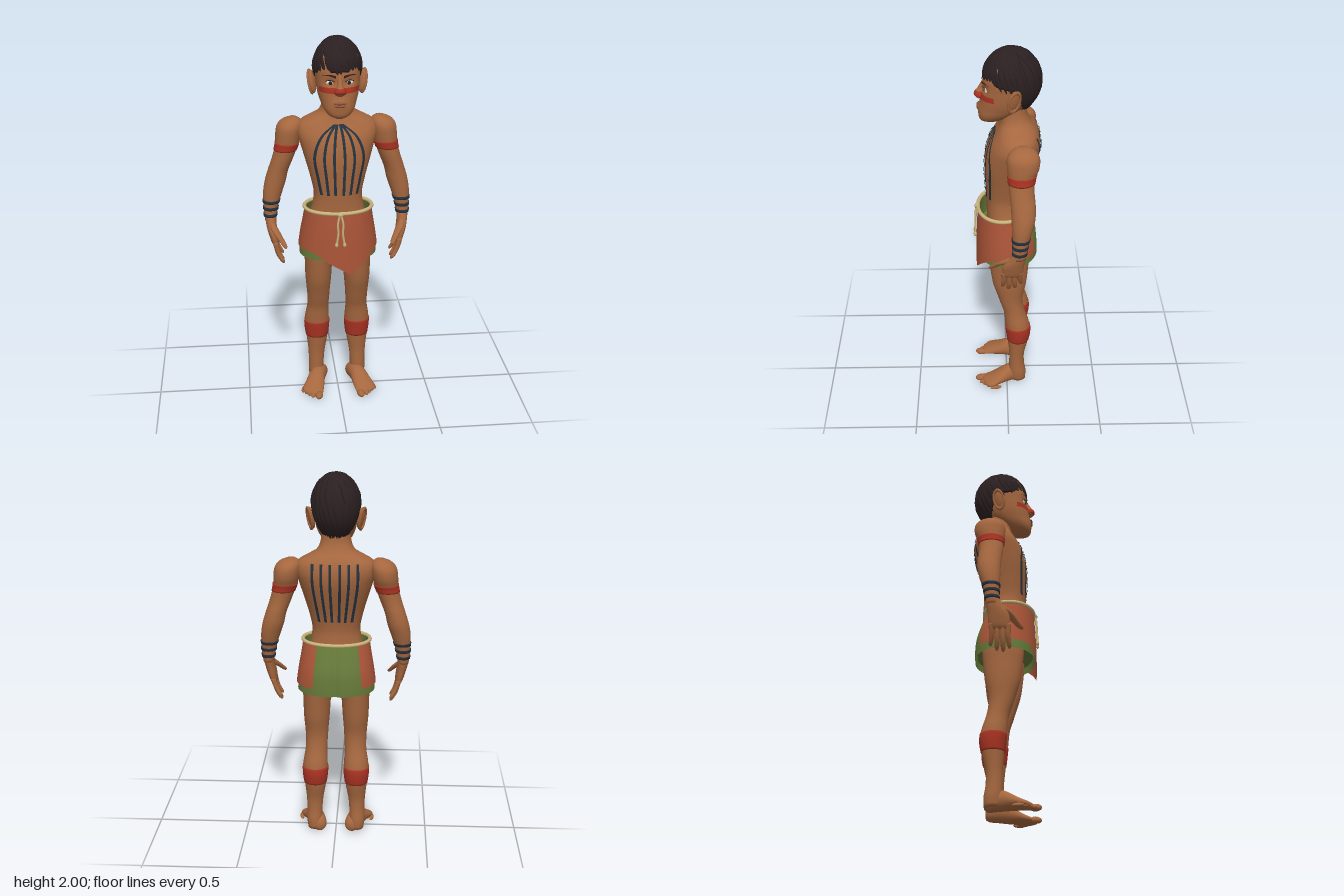
import * as THREE from 'three';
import { mergeGeometries } from 'three/addons/utils/BufferGeometryUtils.js';

const V = (x, y, z) => new THREE.Vector3(x, y, z);
const mat = (name, color, side = THREE.FrontSide) => {
  const m = new THREE.MeshStandardMaterial({ color, side });
  m.name = name;
  return m;
};
const gauss = (d, w) => Math.exp(-(d * d) / (w * w));

// Grid surface f(u, v); closed grids wrap in u and get end caps
function grid(f, nu, nv, closed = true) {
  const pos = [], idx = [], n = closed ? nu : nu + 1;
  for (let j = 0; j <= nv; j++)
    for (let i = 0; i < n; i++) pos.push(...f(i / nu, j / nv).toArray());
  for (let j = 0; j < nv; j++)
    for (let i = 0; i < nu; i++) {
      const k = closed ? (i + 1) % nu : i + 1;
      const a = j * n + i, b = a + n, c = j * n + k, d = c + n;
      idx.push(a, b, c, b, d, c);
    }
  if (closed) for (const j of [0, nv]) {
    const c = V(0, 0, 0), id = pos.length / 3;
    for (let i = 0; i < n; i++) c.add(V(...pos.slice((j * n + i) * 3, (j * n + i) * 3 + 3)));
    pos.push(...c.divideScalar(n).toArray());
    for (let i = 0; i < n; i++) {
      const a = j * n + i, b = j * n + (i + 1) % n;
      idx.push(id, ...(j ? [b, a] : [a, b]));
    }
  }
  const g = new THREE.BufferGeometry();
  g.setAttribute('position', new THREE.Float32BufferAttribute(pos, 3));
  g.setIndex(idx);
  g.computeVertexNormals();
  return g;
}

// Profile rows are [y, centreX, centreZ, radiusX, radiusZ], smoothly interpolated
const profile = (rows, n = 2, warp = null) => ({ rows, n, warp });
function at({ rows }, y) {
  let i = 0;
  while (i < rows.length - 2 && y > rows[i + 1][0]) i++;
  const slope = (k, c) => {
    const p = rows[Math.max(0, k - 1)], q = rows[Math.min(rows.length - 1, k + 1)];
    return (q[c] - p[c]) / (q[0] - p[0]);
  };
  const h = rows[i + 1][0] - rows[i][0], t = Math.min(1, Math.max(0, (y - rows[i][0]) / h));
  const t2 = t * t, t3 = t2 * t;
  return [1, 2, 3, 4].map((c) => (2 * t3 - 3 * t2 + 1) * rows[i][c] + (t3 - 2 * t2 + t) * h * slope(i, c)
    + (3 * t2 - 2 * t3) * rows[i + 1][c] + (t3 - t2) * h * slope(i + 1, c));
}
function ringPoint(P, a, y, g = 0) {
  const [cx, cz, rx, rz] = at(P, y), c = Math.cos(a), s = Math.sin(a), e = 2 / P.n;
  const p = V(cx + (Math.max(rx, 0.001) + g) * Math.sign(c) * Math.abs(c) ** e, y,
    cz + (Math.max(rz, 0.001) + g) * Math.sign(s) * Math.abs(s) ** e);
  if (P.warp) P.warp(p);
  return p;
}
// Point on a profile's front (dir 1) or back (dir -1) at a given x and y
function onSurface(P, x, y, dir, off) {
  const [cx, cz, rx, rz] = at(P, y), k = Math.min(1, Math.abs((x - cx) / rx));
  const p = V(x, y, cz + dir * rz * (1 - k ** P.n) ** (1 / P.n));
  if (P.warp) P.warp(p);
  p.z += dir * off;
  return p;
}
function limb(P, y0, y1, g = 0, nu = 28, nv = 30) {
  return grid((u, v) => ringPoint(P, u * Math.PI * 2, y0 + (y1 - y0) * v, g), nu, nv);
}
const whole = (P, nu, nv) => limb(P, P.rows[0][0], P.rows[P.rows.length - 1][0], 0, nu, nv);
const fb = (y, rx, front, back) => [y, 0, (front + back) / 2, rx, (front - back) / 2];

export function createModel() {
  const root = new THREE.Group();
  root.name = 'figure';
  const D = THREE.DoubleSide;
  const skin = mat('skin', 0xa5673f), hair = mat('hair', 0x2b2021, D), red = mat('redPaint', 0xa93323, D);
  const rust = mat('rustCloth', 0xab5538, D), green = mat('greenCloth', 0x667a3a, D), cord = mat('cord', 0xc9b27c);
  const navy = mat('bluePaint', 0x24323f, D), lip = mat('lips', 0x8f5138), white = mat('eyeWhite', 0xd9d0c4);
  const add = (name, geo, m, parent = root) => {
    const mesh = new THREE.Mesh(geo, m);
    mesh.name = name;
    parent.add(mesh);
    return mesh;
  };
  const ball = (name, m, p, s, parent = root) => {
    const b = add(name, new THREE.SphereGeometry(1, 20, 14), m, parent);
    b.position.set(...p);
    b.scale.set(...s);
    return b;
  };

  // Torso and neck, with a groove along the spine
  const torso = profile([fb(0.93, 0.165, 0.11, -0.12), fb(1.05, 0.15, 0.105, -0.105), fb(1.12, 0.133, 0.105, -0.095),
    fb(1.18, 0.127, 0.107, -0.095), fb(1.27, 0.145, 0.112, -0.115), fb(1.36, 0.17, 0.115, -0.145),
    fb(1.44, 0.193, 0.105, -0.168), fb(1.5, 0.208, 0.085, -0.173), fb(1.55, 0.195, 0.056, -0.162),
    fb(1.58, 0.145, 0.042, -0.145), fb(1.605, 0.1, 0.034, -0.125), fb(1.65, 0.079, 0.034, -0.105),
    fb(1.72, 0.074, 0.04, -0.1)], 2.3, (p) => { if (p.z < 0) p.z += 0.012 * gauss(p.x, 0.03) * gauss(p.y - 1.3, 0.2); });
  add('torso', whole(torso, 64, 60), skin);

  // Painted body stripes laid on the torso
  const stripe = (pts, dir) => {
    const c = new THREE.CatmullRomCurve3(pts.map(([x, y]) => V(x, y, 0)));
    return grid((u, v) => {
      const p = c.getPoint(v);
      return onSurface(torso, p.x + (u - 0.5) * 0.014, p.y, dir, 0.005);
    }, 2, 30, false);
  };
  for (const s of [-1, 1]) {
    [[0.008, 0.027, 0.021], [0.014, 0.077, 0.057], [0.02, 0.126, 0.092]].forEach(([a, b, c]) =>
      add('chestStripe', stripe([[s * a, 1.56], [s * b * 0.72, 1.5], [s * b, 1.4], [s * (b + c) / 2, 1.28], [s * c, 1.19]], 1), navy));
    [[0.025, 0.018], [0.07, 0.05], [0.115, 0.085]].forEach(([a, b]) =>
      add('backStripe', stripe([[s * a, 1.555], [s * a, 1.45], [s * b, 1.23]], -1), navy));
  }

  // Head with eye sockets and a fuller mouth
  const head = profile([fb(1.605, 0.02, 0.115, 0.05), fb(1.62, 0.052, 0.135, 0.02), fb(1.65, 0.078, 0.141, -0.03),
    fb(1.69, 0.095, 0.135, -0.09), fb(1.73, 0.106, 0.13, -0.12), fb(1.79, 0.113, 0.122, -0.14),
    fb(1.85, 0.116, 0.115, -0.15), fb(1.92, 0.104, 0.09, -0.13), fb(1.97, 0.058, 0.03, -0.09)], 2.3, (p) => {
    if (p.z < 0.03) return;
    p.z += 0.009 * gauss(p.x, 0.04) * gauss(p.y - 1.685, 0.025) - 0.011 * gauss(Math.abs(p.x) - 0.047, 0.025) * gauss(p.y - 1.79, 0.022);
  });
  add('head', whole(head, 64, 60), skin);
  const nose = profile([[1.725, 0, 0.125, 0.01, 0.008], [1.737, 0, 0.129, 0.027, 0.022], [1.755, 0, 0.132, 0.027, 0.029],
    [1.78, 0, 0.125, 0.015, 0.022], [1.81, 0, 0.115, 0.011, 0.014], [1.835, 0, 0.108, 0.01, 0.008]]);
  add('nose', whole(nose, 24, 20), skin);
  add('nosePaint', limb(nose, 1.741, 1.77, 0.002, 24, 8), red);
  add('cheekPaint', grid((u, v) => onSurface(head, (v - 0.5) * 0.2, 1.74 + u * 0.028, 1, 0.004), 3, 40, false), red);
  ball('upperLip', lip, [0, 1.692, 0.14], [0.034, 0.007, 0.01]);
  ball('lowerLip', lip, [0, 1.678, 0.14], [0.028, 0.008, 0.01]);
  for (const s of [-1, 1]) {
    const e = onSurface(head, s * 0.047, 1.79, 1, 0);
    ball('eye', white, [e.x, e.y, e.z - 0.002], [0.021, 0.012, 0.01]);
    ball('iris', hair, [e.x, e.y, e.z + 0.005], [0.009, 0.01, 0.005]);
    add('eyelid', grid((u, v) => onSurface(head, s * (0.025 + 0.046 * v), 1.797 + 0.006 * Math.sin(v * Math.PI) + u * 0.004, 1, 0.008), 1, 10, false), hair);
    add('eyebrow', grid((u, v) => onSurface(head, s * (0.02 + 0.066 * v), 1.822 + 0.008 * Math.sin(v * 2.6) + (u - 0.5) * 0.012 * (1.1 - v), 1, 0.005), 2, 12, false), hair);
    const ear = new THREE.Group();
    ear.name = 'ear';
    ear.position.set(s * 0.126, 1.765, -0.032);
    ear.rotation.set(-0.15, s * 0.45, s * -0.15);
    ball('earShell', skin, [0, 0, 0], [0.014, 0.06, 0.033], ear);
    const rim = add('earRim', new THREE.TorusGeometry(0.03, 0.006, 8, 28), skin, ear);
    rim.rotation.y = Math.PI / 2;
    rim.scale.y = 1.85;
    rim.position.x = s * 0.01;
    root.add(ear);
  }

  // Hair cap and overlapping pointed locks running out from the crown
  let seed = 7;
  const rnd = () => (seed = (seed * 16807) % 2147483647) / 2147483647;
  const scalp = (a, t) => {
    const sn = Math.sin(a);
    const hem = sn > 0 ? 1.815 + 0.03 * sn : 1.815 - 0.125 * THREE.MathUtils.smoothstep(-sn, 0, 0.65);
    const w = t * (Math.PI / 2 + (1.83 - hem) / 0.163), low = w - Math.PI / 2;
    const f = low < 0 ? Math.sin(w) : 1 - 0.5 * low * low;
    return V(0.125 * f * Math.cos(a), low < 0 ? 1.83 + 0.163 * Math.cos(w) : 1.83 - 0.163 * low, -0.026 + 0.146 * f * sn);
  };
  add('hairCap', grid((u, v) => scalp(u * Math.PI * 2, 1 - 0.98 * v), 48, 24), hair);
  const locks = [];
  for (const [count, t0, t1, width] of [[36, 0.55, 1.07, 0.017], [24, 0.3, 0.85, 0.021], [13, 0.03, 0.58, 0.022]])
    for (let k = 0; k < count; k++) {
      const a0 = (k + rnd() * 0.5) / count * Math.PI * 2, end = t1 + (rnd() - 0.5) * 0.08, twist = 0.25 + rnd() * 0.2;
      locks.push(grid((u, v) => {
        const t = t0 + (end - t0) * v, a = a0 + twist * (1 - v), c = scalp(a, t);
        const side = scalp(a + 0.02, t).sub(c).normalize();
        const down = scalp(a, t + 0.02).sub(c).normalize();
        const out = side.clone().cross(down).negate();
        const taper = Math.sin(Math.PI * (0.15 + 0.83 * v));
        return c.addScaledVector(side, Math.cos(u * Math.PI * 2) * width * taper)
          .addScaledVector(out, Math.sin(u * Math.PI * 2) * 0.008 * taper + 0.004 * v);
      }, 8, 8));
    }
  add('hairLocks', mergeGeometries(locks), hair);

  // Limbs, one pass for each side
  for (const s of [-1, 1]) {
    const side = (rows) => profile(rows.map(([y, x, ...r]) => [y, x * s, ...r]));
    const arm = side([[1, 0.356, -0.055, 0.028, 0.036], [1.04, 0.355, -0.06, 0.034, 0.036], [1.1, 0.35, -0.065, 0.041, 0.042],
      [1.16, 0.34, -0.072, 0.051, 0.052], [1.22, 0.325, -0.078, 0.056, 0.06], [1.28, 0.309, -0.077, 0.054, 0.062],
      [1.35, 0.284, -0.07, 0.056, 0.063], [1.42, 0.262, -0.07, 0.06, 0.068], [1.47, 0.254, -0.077, 0.066, 0.08],
      [1.52, 0.246, -0.078, 0.066, 0.08], [1.55, 0.236, -0.077, 0.053, 0.06], [1.566, 0.228, -0.076, 0.025, 0.03]]);
    add('arm', whole(arm, 32, 50), skin);
    add('armBand', limb(arm, 1.395, 1.435, 0.004, 32, 6), red);
    for (const y of [1.035, 1.073, 1.11]) add('wristBand', limb(arm, y - 0.008, y + 0.008, 0.004, 28, 3), navy);
    // Hand
    add('palm', whole(side([[0.872, 0.33, -0.02, 0.012, 0.042], [0.885, 0.333, -0.022, 0.019, 0.05], [0.92, 0.34, -0.025, 0.024, 0.055],
      [0.955, 0.347, -0.03, 0.027, 0.053], [0.99, 0.353, -0.045, 0.028, 0.044], [1.03, 0.355, -0.057, 0.03, 0.036]]), 24, 16), skin);
    [[-0.063, 0.8], [-0.035, 0.775], [-0.007, 0.768], [0.02, 0.785]].forEach(([z, tip]) => {
      const zt = z + (z + 0.02) * 0.15;
      add('finger', whole(side([[tip, 0.292, zt, 0.004, 0.004], [tip + 0.008, 0.296, zt, 0.01, 0.01],
        [tip + 0.05, 0.318, z, 0.013, 0.013], [0.9, 0.336, z, 0.015, 0.015]]), 12, 14), skin);
    });
    add('thumb', whole(side([[0.895, 0.283, 0.088, 0.005, 0.006], [0.903, 0.286, 0.083, 0.012, 0.015], [0.935, 0.308, 0.052, 0.016, 0.022],
      [0.97, 0.335, 0.012, 0.02, 0.028], [1, 0.35, -0.02, 0.012, 0.018]]), 14, 16), skin);
    // Leg
    const leg = side([[0.02, 0.118, -0.062, 0.036, 0.042], [0.07, 0.118, -0.06, 0.042, 0.046], [0.13, 0.117, -0.055, 0.042, 0.042],
      [0.2, 0.115, -0.055, 0.046, 0.042], [0.28, 0.112, -0.06, 0.057, 0.055], [0.36, 0.112, -0.062, 0.067, 0.066],
      [0.42, 0.111, -0.055, 0.066, 0.065], [0.49, 0.107, -0.04, 0.059, 0.058], [0.55, 0.105, -0.025, 0.06, 0.062],
      [0.6, 0.105, -0.018, 0.063, 0.07], [0.68, 0.105, -0.014, 0.07, 0.09], [0.785, 0.103, -0.012, 0.075, 0.103],
      [0.85, 0.1, -0.012, 0.08, 0.108], [0.97, 0.09, -0.01, 0.083, 0.1]]);
    add('leg', whole(leg, 36, 60), skin);
    add('calfBand', limb(leg, 0.3, 0.395, 0.003, 36, 10), red);
    // Foot, turned slightly outward, with five toes
    const foot = new THREE.Group();
    foot.name = 'foot';
    foot.position.x = s * 0.118;
    foot.rotation.y = s * 0.2;
    const sole = side([[-0.108, -0.015, -0.04, 0.018, 0.022], [-0.092, -0.014, -0.044, 0.035, 0.041], [-0.05, -0.008, -0.053, 0.042, 0.051],
      [0, 0, -0.051, 0.046, 0.05], [0.05, 0.005, -0.037, 0.053, 0.036], [0.09, 0.009, -0.026, 0.058, 0.025],
      [0.12, 0.005, -0.02, 0.053, 0.018], [0.138, -0.005, -0.017, 0.032, 0.012]]);
    add('footBody', whole(sole, 28, 28).rotateX(Math.PI / 2), skin, foot);
    [0.02, 0.014, 0.013, 0.012, 0.011].forEach((r, i) => {
      const x = i ? -0.022 + 0.021 * i + 0.004 : -0.031;
      ball('toe', skin, [s * x, r * 0.9, 0.144 - 0.0165 * i], [r, r * 0.9, 0.032], foot);
    });
    root.add(foot);
  }

  // Loincloth: green shorts under a rust wrap with a pointed front
  const wrapRows = [fb(0.75, 0.215, 0.165, -0.17), fb(0.87, 0.212, 0.162, -0.172), fb(0.95, 0.202, 0.16, -0.165),
    fb(1.03, 0.188, 0.156, -0.14), fb(1.1, 0.177, 0.15, -0.112)];
  const wrap = profile(wrapRows, 2.1);
  const shorts = profile(wrapRows, 2.1, (p) => { if (p.z < 0) p.z += 0.014 * gauss(p.x, 0.02); });
  const sheet = (P, a0, a1, hem, g) => grid((u, v) => {
    const a = a0 + (a1 - a0) * u, h = hem(Math.cos(a) * 0.213, Math.sin(a));
    return ringPoint(P, a, h + (1.1 - h) * v, g);
  }, 96, 16, false);
  add('shorts', sheet(shorts, 0, Math.PI * 2, (x, z) => 0.835 + (z > 0 ? 0.02 * gauss(x, 0.04) : 0), -0.008), green);
  add('shortsSeat', limb(shorts, 0.865, 1.0, -0.02, 48, 8), green);
  add('wrap', sheet(wrap, -Math.PI / 2 + 0.58, Math.PI * 1.5 - 0.7, (x, z) => {
    if (z < 0) return 0.875;
    const k = Math.max(0, 1 - Math.abs(x - 0.055) / (x < 0.055 ? 0.2 : 0.15));
    return 0.88 - 0.125 * k ** 1.1;
  }, 0), rust);

  // Waist cord with knot and hanging ends
  const loop = Array.from({ length: 32 }, (_, i) => ringPoint(wrap, i / 16 * Math.PI, 1.1, 0.001).setY(1.105));
  add('waistCord', new THREE.TubeGeometry(new THREE.CatmullRomCurve3(loop, true), 96, 0.01, 10, true), cord);
  ball('knot', cord, [0, 1.102, 0.157], [0.017, 0.014, 0.013]);
  for (const s of [-1, 1]) {
    const end = new THREE.CatmullRomCurve3([V(s * 0.004, 1.1, 0.16), V(s * 0.014, 1.05, 0.164), V(s * 0.012, 1, 0.166), V(s * 0.021, 0.935, 0.168)]);
    add('cordEnd', new THREE.TubeGeometry(end, 20, 0.006, 8), cord);
    ball('cordTip', cord, [s * 0.021, 0.937, 0.168], [0.009, 0.014, 0.009]);
  }
  return root;
}
